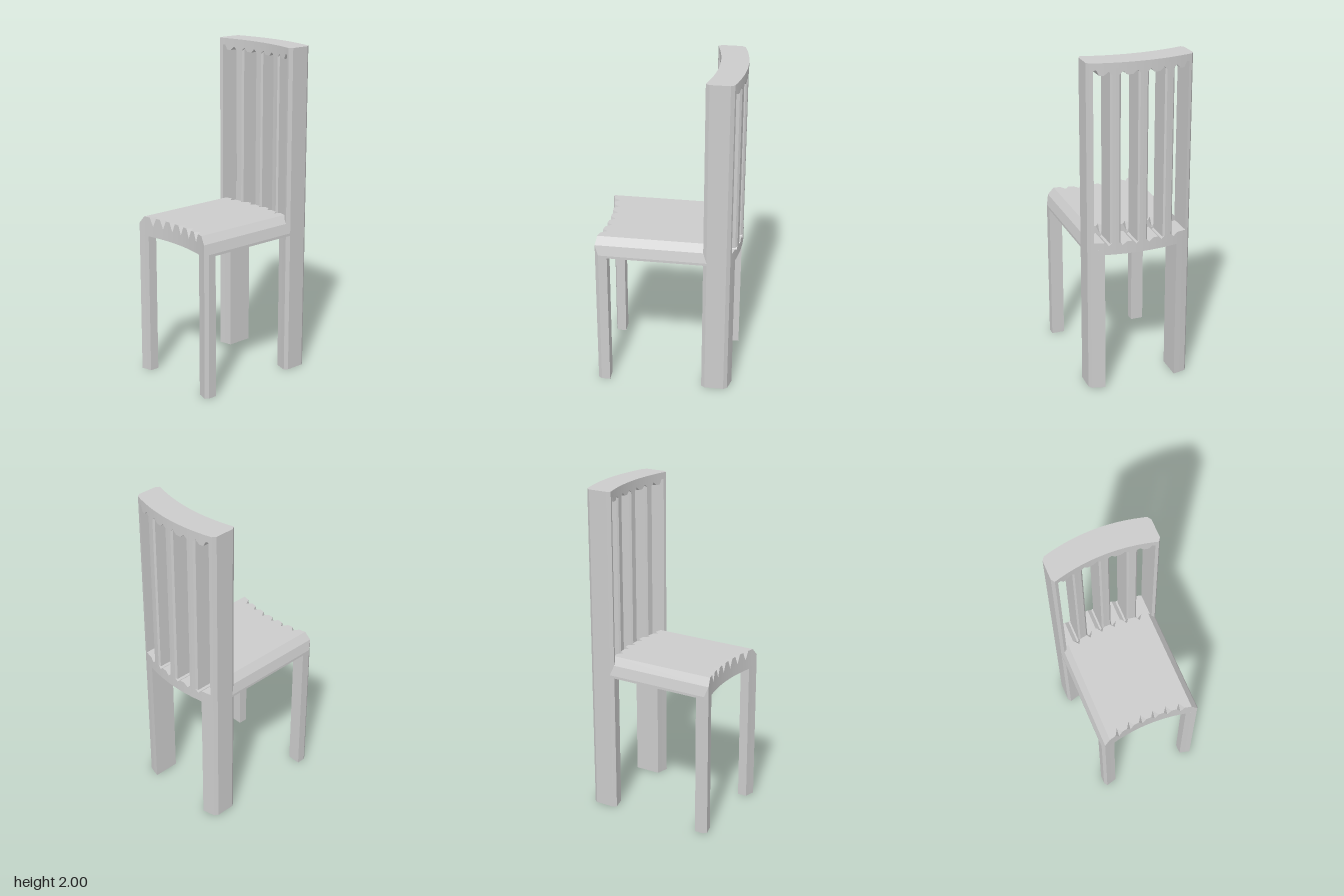
import * as THREE from 'three';

const material = new THREE.MeshStandardMaterial({ color: 0xcccccc, flatShading: true });

const SLATS = [-0.16, 0, 0.16];
const NOTCHES = SLATS.flatMap((s) => [s - 0.04, s + 0.04]);
const NOTCH_HALF = 0.024;

// Shared backward bow of every front and rear face
const bow = (u) => -0.044 * Math.max(0, 1 - (u / 0.3) ** 2);
// Corner chamfer at the outer sides
const trim = (u) => 0.022 * Math.max(0, (Math.abs(u) - 0.3) / 0.015);

const seatFront = (u) => 0.402 + bow(u) - trim(u);
const backFront = (u) => -0.242 + bow(u) - trim(u);
const backRear = (u) => -0.402 + bow(u) + trim(u);

// 1 at the centre of a notch, 0 elsewhere
const notch = (u) => Math.max(0, ...NOTCHES.map((n) => 1 - Math.abs(u - n) / NOTCH_HALF));

// Skin a row of cross-sections running across the chair; section(u) gives [z, y] points
function loft(name, stations, section) {
  const rings = stations.map((u) => section(u).map(([z, y]) => [u, y, z]));
  const n = rings[0].length;
  const pos = [];
  const tri = (a, b, c) => pos.push(...a, ...b, ...c);
  for (let i = 0; i < rings.length - 1; i++) {
    for (let j = 0; j < n; j++) {
      const k = (j + 1) % n;
      const a = rings[i][j], b = rings[i][k], c = rings[i + 1][k], d = rings[i + 1][j];
      tri(a, d, c);
      tri(a, c, b);
    }
  }
  const first = rings[0], last = rings[rings.length - 1];
  for (let j = 1; j < n - 1; j++) {
    tri(first[0], first[j], first[j + 1]);
    tri(last[0], last[j + 1], last[j]);
  }
  const geometry = new THREE.BufferGeometry();
  geometry.setAttribute('position', new THREE.Float32BufferAttribute(pos, 3));
  geometry.computeVertexNormals();
  const mesh = new THREE.Mesh(geometry, material);
  mesh.name = name;
  return mesh;
}

// Four-sided section between two bowed faces
const block = (front, rear, y0, y1) => (u) => [[rear(u), y0], [front(u), y0], [front(u), y1], [rear(u), y1]];

// Stations from the right side to the left, including all notch edges
const across = [
  ...[0.315, 0.3, 0.265, 0.25, 0.08].flatMap((u) => [-u, u]), 0,
  ...NOTCHES.flatMap((n) => [n - NOTCH_HALF, n, n + NOTCH_HALF]),
].sort((a, b) => a - b);

// A span on one side of the chair, ordered from low to high
const span = (side, values) => values.map((v) => side * v).sort((a, b) => a - b);

export function createModel() {
  const chair = new THREE.Group();
  chair.name = 'chair';

  // Seat with bevelled sides and small V cuts along its front and rear edges
  const seatTop = (u) => {
    const a = Math.abs(u);
    if (a > 0.3) return 0.945 - (a - 0.3) / 0.015 * 0.06;
    return 0.99 - Math.max(0, (a - 0.265) / 0.035) * 0.045;
  };
  chair.add(loft('seat', across, (u) => {
    const f = seatFront(u), r = backFront(u) - 0.01, t = seatTop(u), k = notch(u);
    return [[r, 0.87], [f, 0.87], [f, t - 0.055 * k], [f - 0.035 * k, t], [r + 0.035 * k, t], [r, t - 0.055 * k]];
  }));

  // Lower and upper back rails, dipping beside each slat
  chair.add(loft('lowerBackRail', across, (u) =>
    block(backFront, backRear, 0.87, 0.945 - 0.02 * notch(u))(u)));
  chair.add(loft('topRail', across, (u) =>
    block(backFront, backRear, 1.93 + 0.022 * notch(u) + (Math.abs(u) > 0.26 ? 0.03 : 0), 2)(u)));

  // Upright slats with chamfered corners
  SLATS.forEach((s) => {
    const edge = (u) => Math.max(0, Math.abs(u - s) - 0.02);
    chair.add(loft('backSlat', [-0.03, -0.02, 0, 0.02, 0.03].map((d) => s + d),
      block((u) => backFront(u) - edge(u), (u) => backRear(u) + edge(u), 0.9, 1.97)));
  });

  // Legs and back posts, mirrored
  [[-1, 'right'], [1, 'left']].forEach(([side, label]) => {
    chair.add(loft(label + 'FrontLeg', span(side, [0.235, 0.268, 0.3, 0.315]),
      block(seatFront, () => 0.328, 0, 0.88)));
    chair.add(loft(label + 'BackLeg', span(side, [0.222, 0.26, 0.3, 0.315]),
      block(backFront, backRear, 0, 0.9)));
    chair.add(loft(label + 'BackPost', span(side, [0.282, 0.3, 0.315]),
      block(backFront, backRear, 0.88, 2)));
  });

  // The chair stands turned about the vertical axis
  chair.rotation.y = -0.428;
  const model = new THREE.Group();
  model.name = 'turnedChair';
  model.add(chair);
  return model;
}
